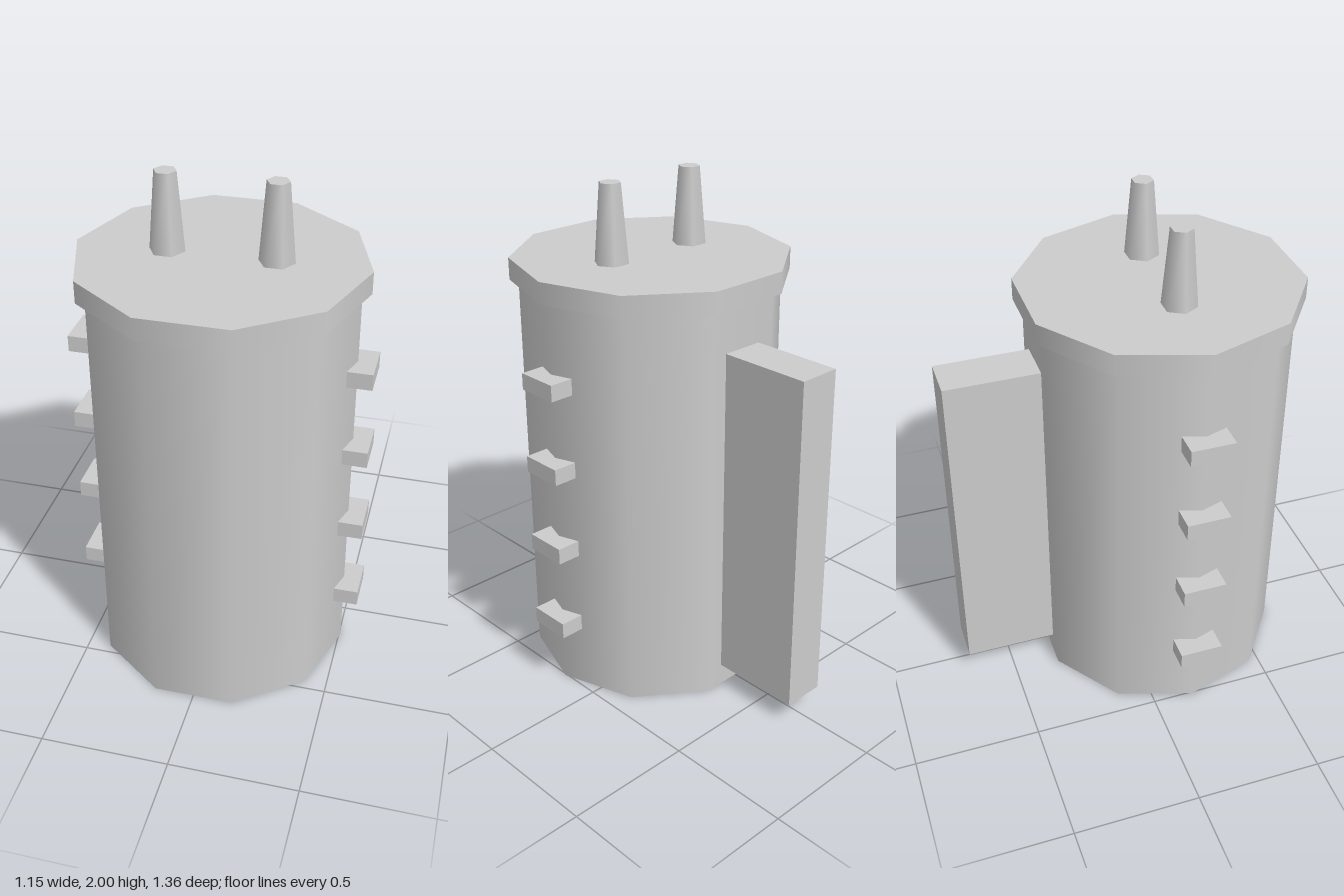
import * as THREE from 'three';

const AXIS_Z = 0.165; // the drum sits forward of the origin
const FACE = { right: 0, left: 1, top: 2, bottom: 3, front: 4, back: 5 };

// Box without the listed faces
function openBox(w, h, d, dropped) {
  const geo = new THREE.BoxGeometry(w, h, d);
  const index = Array.from(geo.index.array);
  geo.setIndex(index.filter((_, i) => !dropped.includes(Math.floor(i / 6))));
  geo.clearGroups();
  return geo;
}

// Upright prism or cone with corners on the x axis
function prism(rTop, rBottom, y0, y1, sides) {
  const geo = new THREE.CylinderGeometry(rTop, rBottom, y1 - y0, sides, 1, false, Math.PI / 2);
  return geo.translate(0, (y0 + y1) / 2, 0);
}

export function createModel() {
  const model = new THREE.Group();
  model.name = 'transformerDrum';
  const grey = new THREE.MeshStandardMaterial({ color: 0xcccccc, side: THREE.DoubleSide });
  grey.name = 'light grey';

  function add(name, geometry, x, y, z) {
    const mesh = new THREE.Mesh(geometry, grey);
    mesh.name = name;
    mesh.position.set(x, y, z);
    model.add(mesh);
  }

  // Ten-sided drum and lid
  add('drum', prism(0.507, 0.507, 0, 1.62, 10), 0, 0, AXIS_Z);
  add('lid', prism(0.541, 0.541, 1.615, 1.7, 10), 0, 0, AXIS_Z);

  // Mounting bracket at the back, open below and against the drum
  add('mountingBracket', openBox(0.17, 1.35, 0.37, [FACE.bottom, FACE.front]), 0, 0.765, -0.498);

  for (const side of [1, -1]) {
    const sideName = side > 0 ? 'left' : 'right';
    // Tapered six-sided terminal on the lid
    add(`${sideName}Terminal`, prism(0.042, 0.067, 1.7, 2, 6), side * 0.2, 0, AXIS_Z);

    // Column of four lugs, open below and against the drum
    const inner = side > 0 ? FACE.left : FACE.right;
    for (let i = 0; i < 4; i++) {
      add(`${sideName}Lug${i + 1}`, openBox(0.095, 0.065, 0.17, [FACE.bottom, inner]),
        side * 0.5275, 0.29 + i * 0.339, AXIS_Z);
    }
  }
  return model;
}
